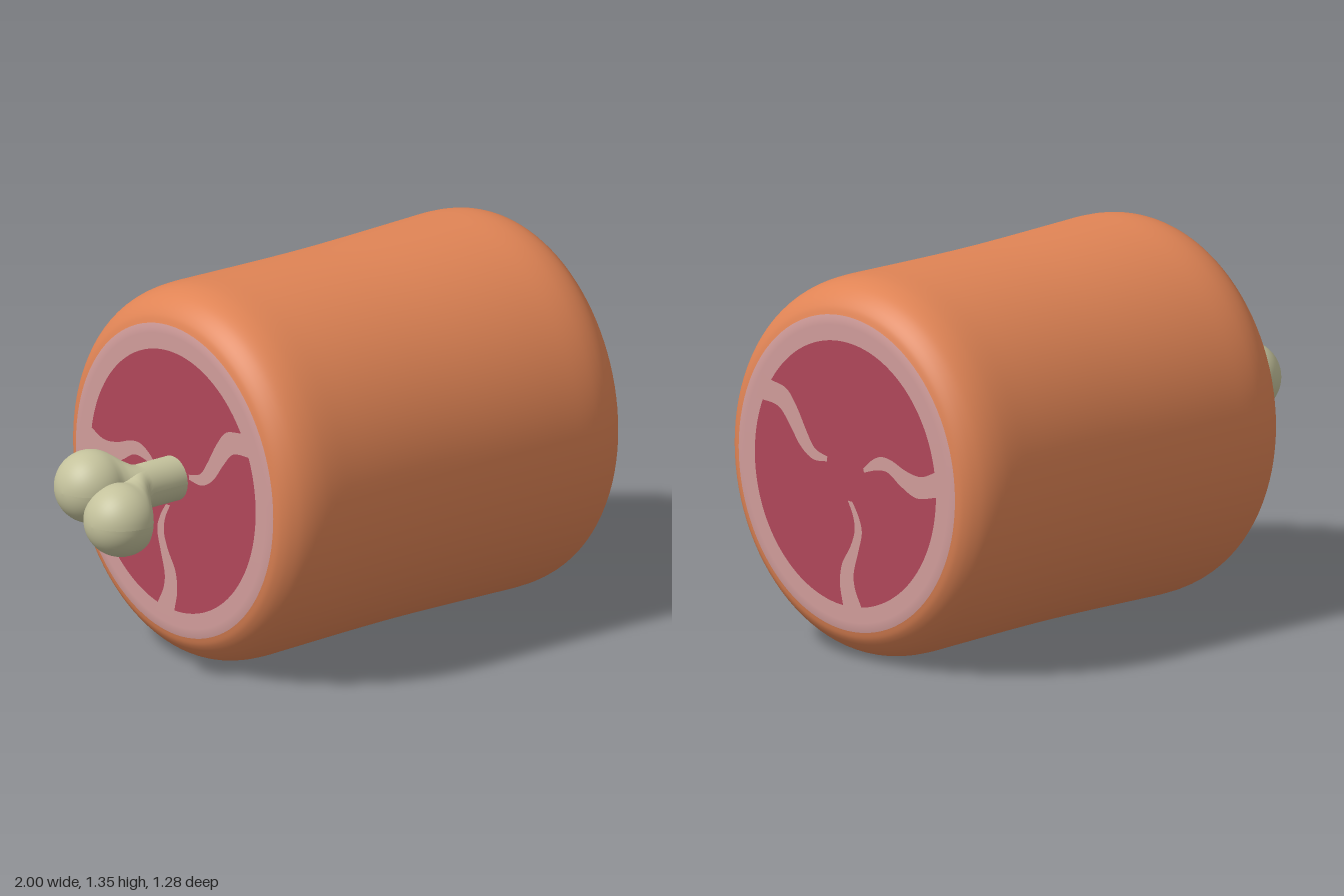
import * as THREE from 'three';

const CX = 0.212, CY = 0.678, HALF = 0.783; // body centre and half length along x
const SQUASH = 0.945;                       // depth relative to height

const material = (color) => new THREE.MeshStandardMaterial({ color, roughness: 0.8 });
const skinMat = material(0xe08455);
const fatMat = material(0xd09c9a);
const meatMat = material(0xb0475a);
const boneMat = material(0xc4c29c);

const vec = (pairs) => pairs.map(([a, b]) => new THREE.Vector2(a, b));

function part(name, geometry, mat) {
  const mesh = new THREE.Mesh(geometry, mat);
  mesh.name = name;
  return mesh;
}

// Fat veins, each as two edges in (z, y): rim to tip, then tip to rim
const VEINS = [
  [[[0.41, 0.97], [0.368, 0.951], [0.29, 0.933], [0.238, 0.876], [0.187, 0.793], [0.148, 0.743], [0.087, 0.725]],
    [[0.09, 0.707], [0.158, 0.703], [0.22, 0.74], [0.274, 0.808], [0.328, 0.862], [0.41, 0.872], [0.44, 0.87]]],
  [[[-0.475, 0.78], [-0.443, 0.764], [-0.375, 0.736], [-0.303, 0.743], [-0.23, 0.768], [-0.177, 0.772], [-0.13, 0.75], [-0.09, 0.714]],
    [[-0.094, 0.7], [-0.159, 0.721], [-0.213, 0.721], [-0.267, 0.689], [-0.33, 0.66], [-0.375, 0.657], [-0.447, 0.675], [-0.475, 0.683]]],
  [[[-0.095, 0.18], [-0.08, 0.214], [-0.05, 0.272], [-0.043, 0.329], [-0.065, 0.408], [-0.083, 0.48], [-0.068, 0.534], [-0.036, 0.585]],
    [[-0.014, 0.585], [-0.04, 0.534], [-0.047, 0.48], [-0.025, 0.419], [0.014, 0.354], [0.025, 0.282], [0.01, 0.207], [0.005, 0.175]]],
];

// Skin: a lathe with rounded ends and a slight waist, laid along x
function buildSkin() {
  const half = [[0.565, 0.778], [0.593, 0.767], [0.624, 0.742], [0.652, 0.703], [0.67, 0.65], [0.677, 0.58], [0.675, 0.45], [0.67, 0.2]];
  const profile = [...half.map(([r, x]) => [r, -x]), [0.668, 0], ...half.slice().reverse()];
  const points = new THREE.SplineCurve(vec(profile)).getPoints(80);
  const geo = new THREE.LatheGeometry(points, 96);
  geo.rotateZ(-Math.PI / 2).scale(1, 1, SQUASH).translate(CX, CY, 0);
  return part('skin', geo, skinMat);
}

// Cut face on one end (side +1 or -1): fat disc, meat and veins
function buildCutFace(side) {
  const group = new THREE.Group();
  group.name = side > 0 ? 'leftCutFace' : 'rightCutFace';

  const fat = new THREE.LatheGeometry(vec([[0.565, 0.778], [0.55, 0.7815], [0.53, HALF], [0, HALF]]), 96);
  fat.rotateZ(-side * Math.PI / 2).scale(1, 1, SQUASH).translate(CX, CY, 0);
  group.add(part('fatRim', fat, fatMat));

  const place = (geo, lift) =>
    geo.rotateY(side * Math.PI / 2).translate(CX + side * (HALF + lift), 0, 0);

  const disc = new THREE.Shape();
  disc.absellipse(0, CY, 0.447, 0.474, 0, Math.PI * 2);
  group.add(part('meat', place(new THREE.ShapeGeometry(disc, 96), 0.002), meatMat));

  for (const edges of VEINS) {
    const [edgeIn, edgeOut] = edges.map((e) => vec(e.map(([z, y]) => [-side * z, y])));
    const shape = new THREE.Shape();
    shape.moveTo(edgeIn[0].x, edgeIn[0].y);
    shape.splineThru(edgeIn.slice(1));
    shape.lineTo(edgeOut[0].x, edgeOut[0].y);
    shape.splineThru(edgeOut.slice(1));
    group.add(part('vein', place(new THREE.ShapeGeometry(shape, 6), 0.004), fatMat));
  }
  return group;
}

// Half of the bone: a shaft that bends off its axis and swells into a round knob
function buildBoneHalf(name, dy, dz) {
  const R = 0.13, knobX = -0.87;
  const points = [];
  for (let i = 0; i <= 20; i++) {
    const a = (i / 20) * Math.PI * 0.72; // from the tip round past the equator
    points.push(new THREE.Vector2(R * Math.sin(a), knobX - R * Math.cos(a)));
  }
  points.push(...vec([[0.09, -0.768], [0.082, -0.748], [0.08, -0.725], [0.08, -0.64], [0.08, -0.54]]));
  const geo = new THREE.LatheGeometry(points, 40);
  geo.rotateZ(-Math.PI / 2);
  const pos = geo.attributes.position;
  for (let i = 0; i < pos.count; i++) {
    const t = 1 - THREE.MathUtils.smoothstep(pos.getX(i), -0.83, -0.73);
    pos.setY(i, pos.getY(i) + 0.69 + dy * t);
    pos.setZ(i, pos.getZ(i) + dz * t);
  }
  geo.computeVertexNormals();
  return part(name, geo, boneMat);
}

export function createModel() {
  const model = new THREE.Group();
  model.name = 'hamOnBone';
  model.add(buildSkin(), buildCutFace(1), buildCutFace(-1));

  const bone = new THREE.Group();
  bone.name = 'bone';
  bone.add(buildBoneHalf('frontKnob', -0.07, 0.07), buildBoneHalf('backKnob', 0.012, -0.09));
  model.add(bone);
  return model;
}
